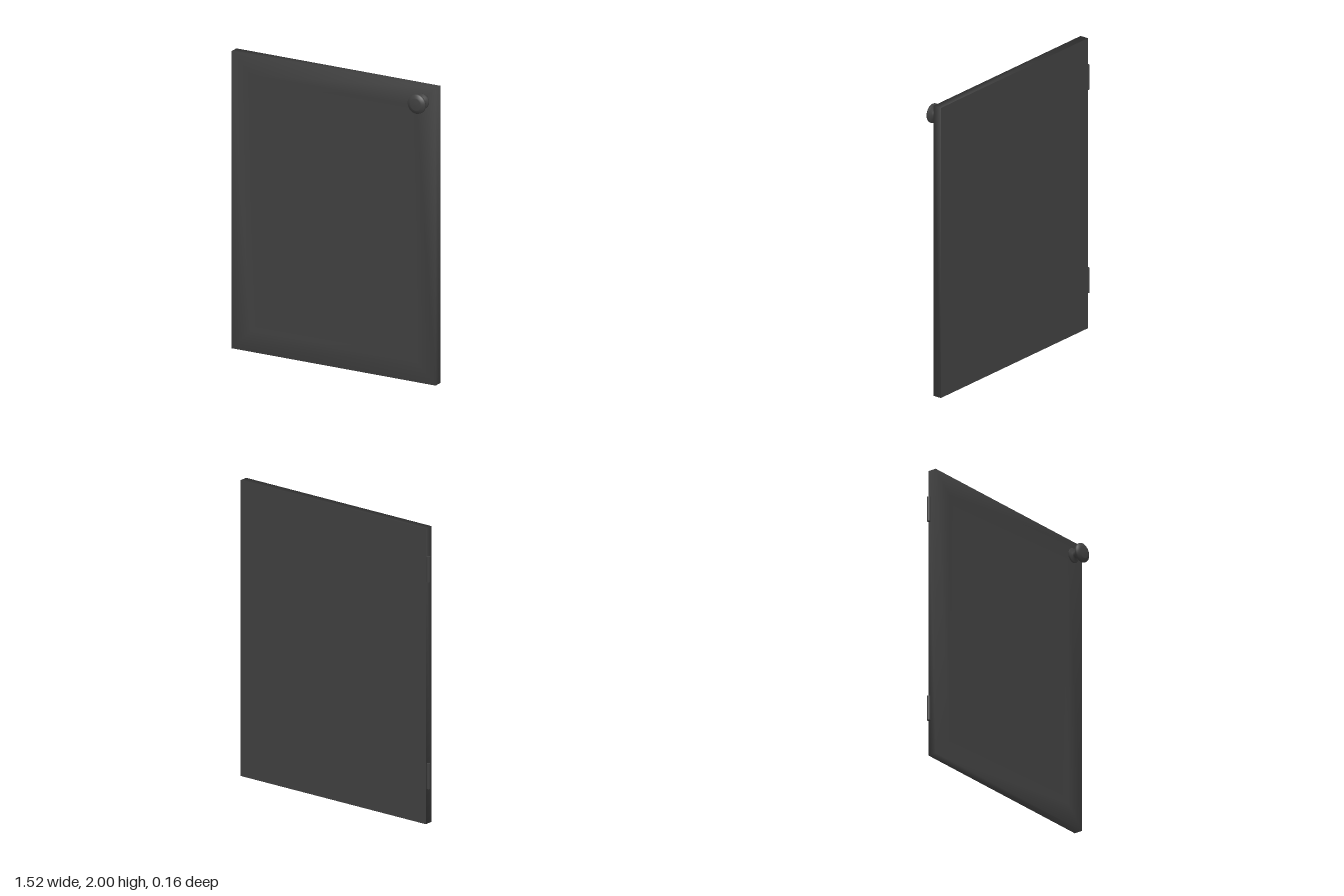
import * as THREE from 'three';

const material = new THREE.MeshStandardMaterial({ color: 0x404040 });
const LEFT = -0.74, RIGHT = 0.76, HEIGHT = 2, BACK = -0.08, FRONT = -0.02;

// Rectangular rings of the door, from the back edge to the recessed panel
function doorGeometry() {
  const rings = [[0, BACK], [0, FRONT], [0.14, FRONT], [0.19, FRONT - 0.012]];
  const positions = [], index = [];
  for (const [inset, z] of rings) {
    const l = LEFT + inset, r = RIGHT - inset, b = inset, t = HEIGHT - inset;
    positions.push(l, b, z, r, b, z, r, t, z, l, t, z);
  }
  for (let ring = 0; ring < rings.length - 1; ring++) {
    for (let i = 0; i < 4; i++) {
      const a = ring * 4 + i, b = ring * 4 + (i + 1) % 4;
      index.push(a, b, b + 4, a, b + 4, a + 4);
    }
  }
  const p = (rings.length - 1) * 4;
  index.push(p, p + 1, p + 2, p, p + 2, p + 3);
  const geometry = new THREE.BufferGeometry();
  geometry.setAttribute('position', new THREE.Float32BufferAttribute(positions, 3));
  geometry.setIndex(index);
  geometry.computeVertexNormals(); // soft shading across the frame
  return geometry;
}

export function createModel() {
  const model = new THREE.Group();
  const add = (name, geometry, x, y, z) => {
    const mesh = new THREE.Mesh(geometry, material);
    mesh.name = name;
    mesh.position.set(x, y, z);
    model.add(mesh);
    return mesh;
  };

  // Door with a shallow recessed panel, closed by a flat back
  add('doorFront', doorGeometry(), 0, 0, 0);
  const back = add('doorBack', new THREE.PlaneGeometry(RIGHT - LEFT, HEIGHT),
    (LEFT + RIGHT) / 2, HEIGHT / 2, BACK);
  back.rotation.y = Math.PI;

  // Turned knob: base plate, flared neck and round head
  const profile = [
    [0, 0], [0.048, 0], [0.05, 0.006], [0.046, 0.013], [0.024, 0.016],
    [0.022, 0.024], [0.03, 0.045], [0.04, 0.058], [0.061, 0.064],
    [0.065, 0.072], [0.063, 0.083], [0.044, 0.089], [0.038, 0.094], [0, 0.095],
  ].map(([r, h]) => new THREE.Vector2(r, h));
  const knob = add('knob', new THREE.LatheGeometry(profile, 32), 0.665, 1.9, FRONT);
  knob.rotation.x = Math.PI / 2;

  // Hinge barrels
  for (const [name, y] of [['upperHinge', 1.725], ['lowerHinge', 0.325]]) {
    add(name, new THREE.CylinderGeometry(0.012, 0.012, 0.17, 16), -0.752, y, -0.068);
  }
  return model;
}
